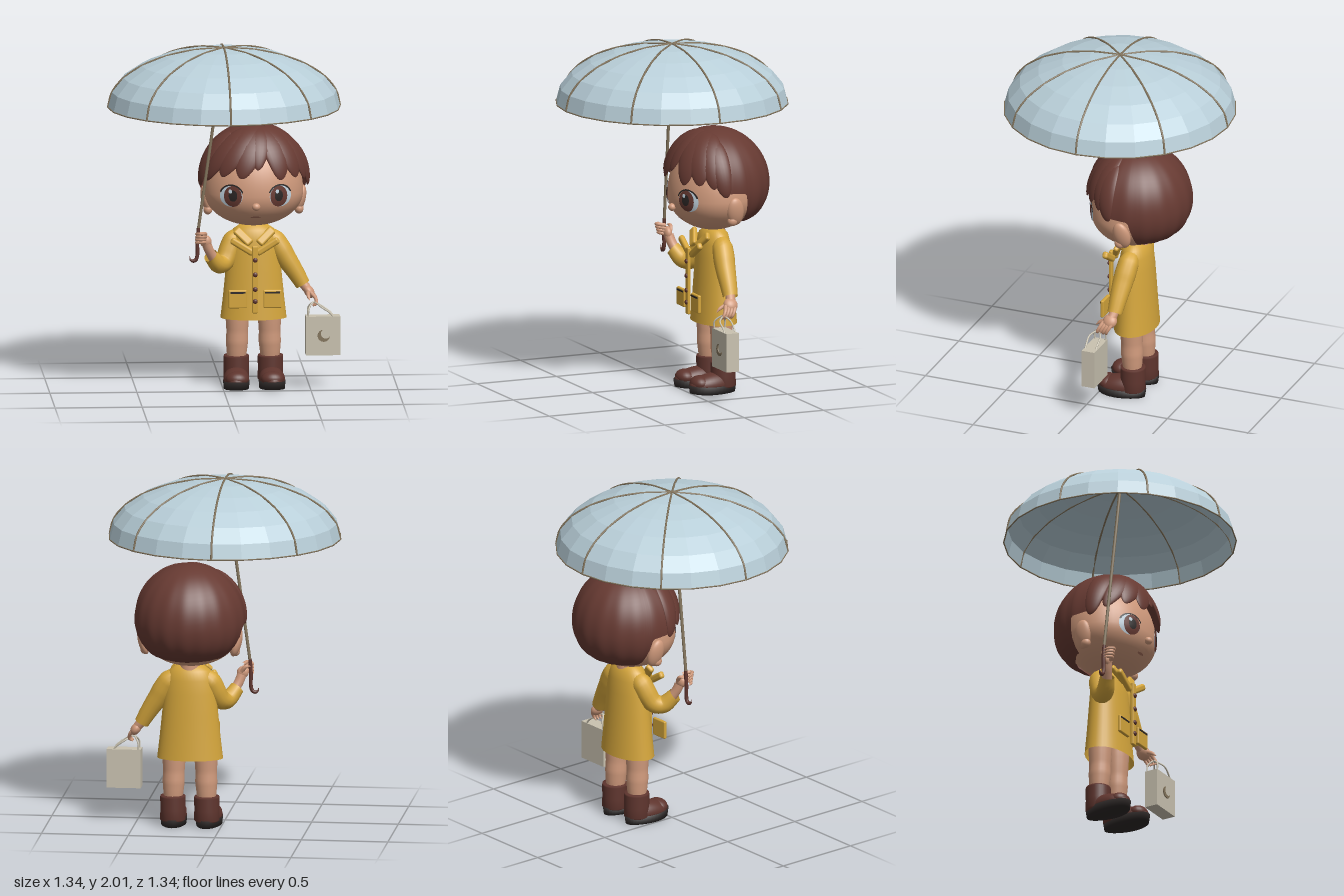
import * as THREE from 'three';
import { mergeVertices } from 'three/addons/utils/BufferGeometryUtils.js';
import { RoundedBoxGeometry } from 'three/addons/geometries/RoundedBoxGeometry.js';

const mat = (name, color, extra = {}) => {
  const m = new THREE.MeshStandardMaterial({ color, ...extra });
  m.name = name;
  return m;
};
const V = (p) => new THREE.Vector3(...p);
const rad = THREE.MathUtils.degToRad;
const lerp = THREE.MathUtils.lerp;
const CX = 0.18; // the figure stands left of the umbrella axis

export function createModel() {
  const D = { side: THREE.DoubleSide };
  const skin = mat('skin', 0xd09a7c);
  const hairMat = mat('hair brown', 0x673a32, D);
  const coatMat = mat('coat yellow', 0xd5a63c, D);
  const canopyMat = mat('canopy blue', 0xb9cfd9, { ...D, flatShading: true });
  const metal = mat('tan metal', 0x83745c, D);
  const bagMat = mat('bag cream', 0xc9c2b0);
  const bootMat = mat('boot brown', 0x5f352e);
  const dark = mat('dark rubber', 0x2b2625, D);
  const white = mat('eye white', 0xc4d6e2, D);
  const lip = mat('lip', 0xa66f5b, D);

  const model = new THREE.Group();
  model.name = 'childWithUmbrella';
  const add = (name, geo, material, pos = [0, 0, 0], rot = [0, 0, 0], scale = [1, 1, 1]) => {
    const m = new THREE.Mesh(geo, material);
    m.name = name;
    m.position.set(...pos);
    m.rotation.set(...rot);
    m.scale.set(...scale);
    model.add(m);
    return m;
  };
  const blob = (name, material, pos, scale, rot) =>
    add(name, new THREE.SphereGeometry(1, 24, 16), material, pos, rot, scale);

  // Moves every vertex by a rule, then rebuilds smooth normals
  const remap = (geo, rule) => {
    const p = geo.attributes.position;
    for (let i = 0; i < p.count; i++) p.setXYZ(i, ...rule(p.getX(i), p.getY(i), p.getZ(i)));
    geo.deleteAttribute('uv');
    geo.deleteAttribute('normal');
    const g = mergeVertices(geo, 1e-5);
    g.computeVertexNormals();
    return g;
  };

  // Tube along points whose radius follows a list
  const sweep = (name, material, pts, radii, n = 20, sides = 14) => {
    const curve = new THREE.CatmullRomCurve3(pts.map(V));
    const geo = new THREE.TubeGeometry(curve, n, 1, sides);
    const p = geo.attributes.position, v = new THREE.Vector3();
    for (let i = 0; i < p.count; i++) {
      const t = Math.floor(i / (sides + 1)) / n, k = t * (radii.length - 1);
      const j = Math.min(Math.floor(k), radii.length - 2);
      const c = curve.getPointAt(t);
      v.fromBufferAttribute(p, i).sub(c).multiplyScalar(lerp(radii[j], radii[j + 1], k - j)).add(c);
      p.setXYZ(i, v.x, v.y, v.z);
    }
    return add(name, remap(geo, (x, y, z) => [x, y, z]), material);
  };

  // Umbrella: faceted canopy, ribs, rim, shaft and hook
  const R = 0.667, H = 0.34, base = 1.66;
  add('canopy', new THREE.SphereGeometry(R, 24, 6, 0, Math.PI * 2, 0, Math.PI / 2), canopyMat, [0, base, 0], [0, 0, 0], [1, H / R, 1]);
  for (let i = 0; i < 8; i++) {
    const a = i * Math.PI / 4, pts = [];
    for (let j = 0; j <= 6; j++) {
      const t = rad(15 * j), r = R * Math.sin(t);
      pts.push([r * Math.cos(a), base + H * Math.cos(t), r * Math.sin(a)]);
    }
    sweep('rib', metal, pts, [0.006, 0.006], 24, 6);
  }
  add('canopyRim', new THREE.TorusGeometry(R, 0.004, 6, 24), metal, [0, base, 0], [Math.PI / 2, 0, 0]);
  sweep('shaft', metal, [[0, 1.99, 0], [-0.148, 0.93, -0.018]], [0.009, 0.009], 2, 10);
  sweep('hookHandle', bootMat, [[-0.146, 0.95, -0.018], [-0.152, 0.86, -0.019], [-0.152, 0.79, -0.019],
    [-0.162, 0.763, -0.019], [-0.18, 0.758, -0.019], [-0.193, 0.768, -0.019], [-0.196, 0.787, -0.019]],
  [0.01, 0.011, 0.011, 0.011, 0.011, 0.011, 0], 36, 10);

  // Head
  const HY = 1.14, HZ = -0.17, headR = (dy) => (dy < 0 ? 0.2 : 0.34);
  add('head', remap(new THREE.SphereGeometry(1, 48, 32),
    (x, y, z) => [CX + x * 0.285, HY + y * headR(y), HZ + z * 0.25]), skin);
  const faceZ = (x, y) => HZ + 0.25 * Math.sqrt(Math.max(0, 1 - ((x - CX) / 0.285) ** 2 - ((y - HY) / headR(y - HY)) ** 2));
  // Thin patch laid on the curved face
  const patch = (name, material, cx, cy, rx, ry, lift, inner = 0, start = 0, len = Math.PI * 2) =>
    add(name, remap(new THREE.RingGeometry(inner, 1, 32, 4, start, len), (x, y) => {
      const px = cx + x * rx, py = cy + y * ry;
      return [px, py, faceZ(px, py) + lift];
    }), material);
  for (const s of [-1, 1]) {
    const ex = CX + s * 0.135;
    patch('eyeWhite', white, ex + s * 0.006, 1.142, 0.063, 0.062, 0.003);
    patch('iris', hairMat, ex - s * 0.003, 1.142, 0.05, 0.061, 0.005);
    patch('pupil', dark, ex - s * 0.003, 1.146, 0.024, 0.033, 0.007);
    patch('eyeGlint', white, ex - 0.012, 1.172, 0.01, 0.012, 0.009);
    patch('lashLine', dark, ex + s * 0.004, 1.142, 0.07, 0.07, 0.007, 0.88, rad(20), rad(140));
    blob('ear', skin, [CX + s * 0.268, 1.085, -0.195], [0.032, 0.085, 0.052], [0.15, 0, s * -0.22]);
    blob('earLobe', skin, [CX + s * 0.262, 1.03, -0.18], [0.026, 0.03, 0.03]);
  }
  blob('nose', skin, [CX, 1.085, 0.082], [0.024, 0.022, 0.022]);
  patch('mouth', lip, CX, 1.016, 0.03, 0.005, 0.003);
  add('neck', new THREE.CylinderGeometry(0.055, 0.06, 0.14, 20), skin, [CX, 0.95, -0.19]);

  // Hair: a rounded bob whose lower edge opens around face and ears
  const hairPoint = (a, phi, k = 1) => {
    const c = Math.cos(phi), s = Math.max(Math.sin(phi), 0);
    const r = k * (c >= 0 ? s : s ** 0.6);
    return [CX + 0.318 * r * Math.sin(a), 1.21 + (c >= 0 ? 0.325 * k : 0.235) * c,
      -0.18 + (Math.cos(a) > 0 ? 0.285 : 0.32) * r * Math.cos(a)];
  };
  const edge = [[0, 62], [35, 62], [60, 74], [78, 92], [102, 94], [112, 148], [180, 162]];
  const edgeAt = (deg) => {
    const i = Math.max(1, edge.findIndex((e) => e[0] >= deg - 1e-6));
    const [a, b] = [edge[i - 1], edge[i]];
    return lerp(a[1], b[1], (deg - a[0]) / (b[0] - a[0]));
  };
  add('hairBob', remap(new THREE.PlaneGeometry(1, 1, 144, 30), (x, y) => {
    const a = x * Math.PI * 2, phi = rad(edgeAt(Math.abs(x) * 360)) * (0.5 - y);
    return hairPoint(a, phi, 1 + 0.012 * Math.cos(18 * a) * Math.sin(phi / 2) ** 2 * Math.min(1, phi));
  }), hairMat);
  // Fringe locks: start and end angles around and down the head, then width
  const locks = [[-10, 15, -60, 88, 0.085], [0, 14, -37, 82, 0.09], [6, 14, -15, 83, 0.09], [12, 18, 2, 74, 0.06],
    [28, 16, 27, 85, 0.085], [38, 18, 47, 84, 0.085], [52, 20, 64, 87, 0.075], [-60, 30, -78, 98, 0.07], [62, 30, 78, 98, 0.07]];
  locks.forEach(([a0, p0, a1, p1, w], i) => {
    add('fringeLock', remap(new THREE.SphereGeometry(1, 20, 20), (x, y, z) => {
      const t = (1 - y) / 2, phi = rad(lerp(p0, p1, t));
      const a = rad(lerp(a0, a1, t ** 0.8)) + x * w * (1.1 - 0.35 * t) / (0.3 * Math.max(Math.sin(phi), 0.35));
      return hairPoint(a, phi, 0.995 + 0.004 * (i % 2) + 0.05 * z);
    }), hairMat);
  });

  // Coat body with front band, buttons, pockets and collar
  const profile = [[0.19, 0.4], [0.176, 0.52], [0.162, 0.66], [0.15, 0.78], [0.138, 0.86], [0.118, 0.915], [0.08, 0.942], [0.055, 0.945]];
  add('coat', new THREE.LatheGeometry(profile.map((p) => new THREE.Vector2(...p)), 40), coatMat, [CX, 0, -0.18], [0, 0, 0], [1, 1, 0.63]);
  add('buttonBand', new RoundedBoxGeometry(0.034, 0.39, 0.02, 2, 0.006), coatMat, [CX, 0.645, -0.02]);
  for (const y of [0.76, 0.675, 0.59, 0.52]) blob('button', bootMat, [CX, y, -0.008], [0.014, 0.014, 0.009]);
  for (const s of [-1, 1]) {
    add('pocket', new RoundedBoxGeometry(0.105, 0.105, 0.02, 2, 0.007), coatMat, [CX + s * 0.1, 0.532, -0.024]);
    add('pocketSlit', new THREE.BoxGeometry(0.086, 0.009, 0.006), dark, [CX + s * 0.1, 0.57, -0.013]);
    add('lapel', new RoundedBoxGeometry(0.15, 0.04, 0.034, 3, 0.014), coatMat, [CX + s * 0.073, 0.835, -0.035], [0, 0, s * 0.56]);
    add('collar', new RoundedBoxGeometry(0.12, 0.05, 0.03, 3, 0.012), coatMat, [CX + s * 0.065, 0.885, -0.082], [-0.45, 0, s * 0.8]);
  }

  // Bent arm holding the umbrella
  sweep('rightSleeve', coatMat, [[0.12, 0.9, -0.185], [0.065, 0.85, -0.175], [0.01, 0.735, -0.13], [-0.025, 0.725, -0.085], [-0.075, 0.785, -0.04]],
    [0.03, 0.06, 0.06, 0.056, 0.05, 0.042], 28);
  sweep('rightWrist', skin, [[-0.05, 0.755, -0.06], [-0.085, 0.82, -0.035], [-0.1, 0.86, -0.025]], [0.03, 0.028, 0.028]);
  blob('rightPalm', skin, [-0.105, 0.872, -0.02], [0.034, 0.038, 0.024], [0, 0, 0.5]);
  for (let i = 0; i < 4; i++) {
    const y = 0.865 + i * 0.017;
    sweep('rightFinger', skin, [[-0.105, y, -0.01], [-0.13, y + 0.008, 0.025 + i * 0.005], [-0.157, y + 0.004, 0.012], [-0.166, y - 0.002, -0.012]],
      [0.011, 0.011, 0.01, 0.009, 0.001], 12, 8);
  }
  sweep('rightThumb', skin, [[-0.1, 0.88, -0.035], [-0.125, 0.91, -0.046], [-0.153, 0.912, -0.036]], [0.013, 0.012, 0.01, 0.001], 12, 8);

  // Hanging arm carrying the bag
  sweep('leftSleeve', coatMat, [[0.24, 0.9, -0.185], [0.3, 0.85, -0.18], [0.37, 0.74, -0.168], [0.425, 0.655, -0.162], [0.462, 0.592, -0.158]],
    [0.03, 0.06, 0.062, 0.057, 0.05, 0.043], 24);
  sweep('leftWrist', skin, [[0.445, 0.62, -0.16], [0.485, 0.57, -0.15]], [0.028, 0.027], 4);
  blob('leftPalm', skin, [0.497, 0.553, -0.143], [0.028, 0.042, 0.042], [0, 0, 0.6]);
  for (let i = 0; i < 4; i++) {
    const z = -0.165 + i * 0.019;
    sweep('leftFinger', skin, [[0.505, 0.55, z], [0.532, 0.52, z + 0.015], [0.535, 0.49, z + 0.03], [0.515, 0.476, z + 0.03]],
      [0.012, 0.011, 0.01, 0.009, 0.001], 12, 8);
  }
  sweep('leftThumb', skin, [[0.49, 0.555, -0.12], [0.49, 0.535, -0.08], [0.495, 0.515, -0.055]], [0.014, 0.012, 0.01, 0.001], 12, 8);

  // Paper bag, cord handles and crescent
  add('bag', new THREE.BoxGeometry(0.197, 0.225, 0.08), bagMat, [0.572, 0.31, -0.078]);
  for (const z of [-0.045, -0.111]) {
    sweep('bagHandle', metal, [[0.487, 0.42, z], [0.49, 0.465, z], [0.52, 0.5, -0.085], [0.565, 0.475, z], [0.615, 0.44, z], [0.63, 0.42, z]],
      [0.005, 0.005], 24, 8).material = bagMat;
  }
  const moon = new THREE.Shape();
  moon.absarc(0, 0, 0.035, rad(100), rad(350), false);
  moon.absarc(0.012, 0.012, 0.0288, rad(321.3), rad(128.7), true);
  add('crescent', new THREE.ExtrudeGeometry(moon, { depth: 0.006, bevelEnabled: false }), metal, [0.575, 0.312, -0.039]);

  // Legs and boots
  for (const s of [-1, 1]) {
    const x = CX + s * 0.093, foot = CX + s * 0.102;
    sweep('leg', skin, [[x, 0.5, -0.185], [x, 0.33, -0.186], [x + s * 0.004, 0.14, -0.192]], [0.07, 0.069, 0.066, 0.062, 0.064, 0.058, 0.05], 24, 20);
    const cuff = [[0.06, 0.03], [0.074, 0.04], [0.072, 0.1], [0.073, 0.17], [0.071, 0.18], [0.05, 0.18]];
    add('bootShaft', new THREE.LatheGeometry(cuff.map((p) => new THREE.Vector2(...p)), 28), bootMat, [foot - s * 0.004, 0, -0.195]);
    add('bootFoot', remap(new THREE.SphereGeometry(1, 32, 20), (px, py, pz) => [
      px * (0.074 + 0.008 * pz), 0.05 + py * (py > 0 ? 0.068 - 0.012 * pz : 0.03), pz * 0.142]), bootMat, [foot, 0, -0.127], [0, s * 0.04, 0]);
    add('bootSole', remap(new THREE.CylinderGeometry(1, 0.95, 0.045, 36), (px, py, pz) => [
      px * (0.076 + 0.009 * pz), py + (pz > 0 ? 0.008 * pz * pz : 0), pz * 0.148]), dark, [foot, 0.0225, -0.127], [0, s * 0.04, 0]);
    blob('toeCap', bootMat, [foot, 0.062, -0.045], [0.066, 0.045, 0.055]);
  }
  return model;
}
